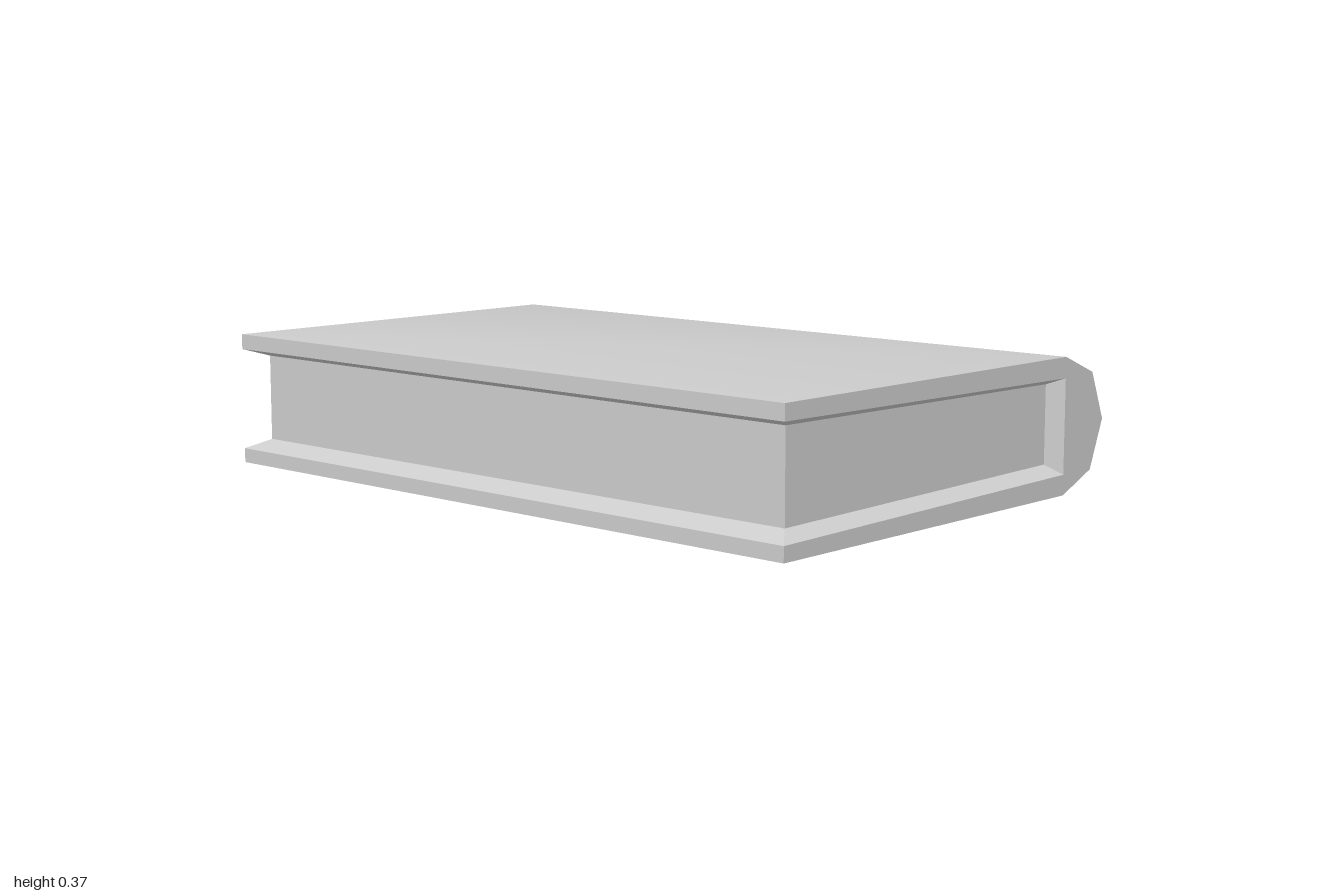
import * as THREE from 'three';
import { toCreasedNormals } from 'three/addons/utils/BufferGeometryUtils.js';

const HALF = 0.9925;  // half length of the cover
const INNER = 0.945;  // half length of the page block

// Cross-section corners (x, y): rim on the cover, and edge of the recessed pages
const rim = { lb: [-0.66, 0.04], rb: [0.478, 0.055], rt: [0.478, 0.309], lt: [-0.66, 0.323] };
const page = { lb: [-0.6, 0.065], rb: [0.458, 0.079], rt: [0.458, 0.291], lt: [-0.6, 0.303] };

function quadMesh(name, quads, material) {
  const pos = [];
  for (const [a, b, c, d] of quads) pos.push(...[a, b, c, a, c, d].flat());
  const geo = new THREE.BufferGeometry();
  geo.setAttribute('position', new THREE.Float32BufferAttribute(pos, 3));
  geo.computeVertexNormals();
  const mesh = new THREE.Mesh(geo, material);
  mesh.name = name;
  return mesh;
}

export function createModel() {
  const grey = new THREE.MeshStandardMaterial({ color: 0xcccccc });
  grey.name = 'light grey';
  const model = new THREE.Group();
  model.name = 'book';

  // Cover: C-shaped section with a faceted spine on the left
  const outline = [
    [-0.66, 0], [0.478, 0], [0.605, 0.053], [0.659, 0.184], [0.605, 0.314], [0.478, 0.365], [-0.66, 0.365],
    rim.lt, rim.rt, rim.rb, rim.lb,
  ].map(([x, y]) => new THREE.Vector2(x, y));
  const coverGeo = new THREE.ExtrudeGeometry(new THREE.Shape(outline), { depth: 2 * HALF, bevelEnabled: false });
  coverGeo.translate(0, 0, -HALF);
  const cover = new THREE.Mesh(toCreasedNormals(coverGeo, THREE.MathUtils.degToRad(30)), grey);
  cover.name = 'cover';
  model.add(cover);

  // Page block and the sloping faces from the cover rim down to it
  const R = (key, s) => [...rim[key], s * HALF];
  const P = (key, s) => [...page[key], s * INNER];
  const pages = [[P('lb', -1), P('lb', 1), P('lt', 1), P('lt', -1)]];
  const slopes = [
    [P('lt', -1), P('lt', 1), R('lt', 1), R('lt', -1)],
    [R('lb', -1), R('lb', 1), P('lb', 1), P('lb', -1)],
  ];
  for (const s of [1, -1]) {
    const turn = (q) => (s > 0 ? q : q.reverse());
    pages.push(turn([P('lb', s), P('rb', s), P('rt', s), P('lt', s)]));
    slopes.push(
      turn([P('lt', s), P('rt', s), R('rt', s), R('lt', s)]),
      turn([R('lb', s), R('rb', s), P('rb', s), P('lb', s)]),
      turn([P('rb', s), R('rb', s), R('rt', s), P('rt', s)]),
    );
  }
  model.add(quadMesh('pages', pages, grey), quadMesh('innerCoverSlopes', slopes, grey));

  // The book lies very slightly turned
  model.rotation.y = 0.0115;
  return model;
}
